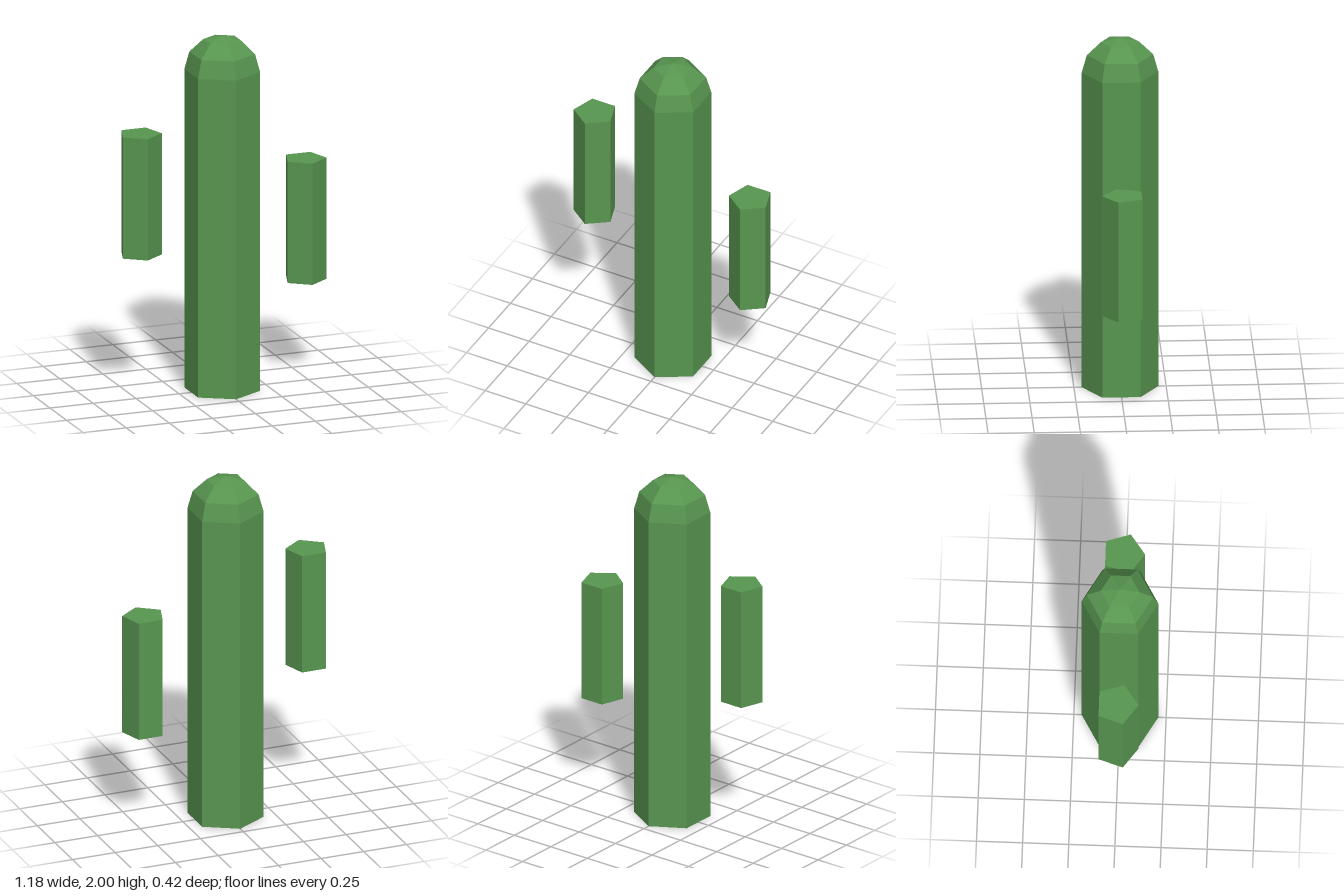
import * as THREE from 'three';

export function createModel() {
  const group = new THREE.Group();
  group.name = 'cactus';
  const cactusGreen = new THREE.MeshStandardMaterial({
    color: 0x589650, flatShading: true, side: THREE.DoubleSide,
  });
  cactusGreen.name = 'cactus green';

  // Faceted shell turned around y, open underneath; a corner points to +z
  function column(name, profile, sides, x, y) {
    const points = profile.map(([r, h]) => new THREE.Vector2(r, h));
    const mesh = new THREE.Mesh(new THREE.LatheGeometry(points, sides), cactusGreen);
    mesh.name = name;
    mesh.position.set(x, y, 0);
    group.add(mesh);
  }

  // Six-sided trunk with a stepped dome
  const trunkRadius = 0.208, domeHeight = 0.2, domeSteps = 3;
  const trunk = [[trunkRadius, 0]];
  for (let i = 0; i <= domeSteps; i++) {
    const a = (i / domeSteps) * Math.PI / 2;
    trunk.push([i === domeSteps ? 0 : trunkRadius * Math.cos(a), 1.8 + domeHeight * Math.sin(a)]);
  }
  column('trunk', trunk, 6, 0, 0);

  // Floating five-sided arms with flat tops
  const arm = [[0.119, 0], [0.119, 0.685], [0, 0.685]];
  column('rightArm', arm, 5, -0.478, 0.81);
  column('leftArm', arm, 5, 0.478, 0.57);

  return group;
}
